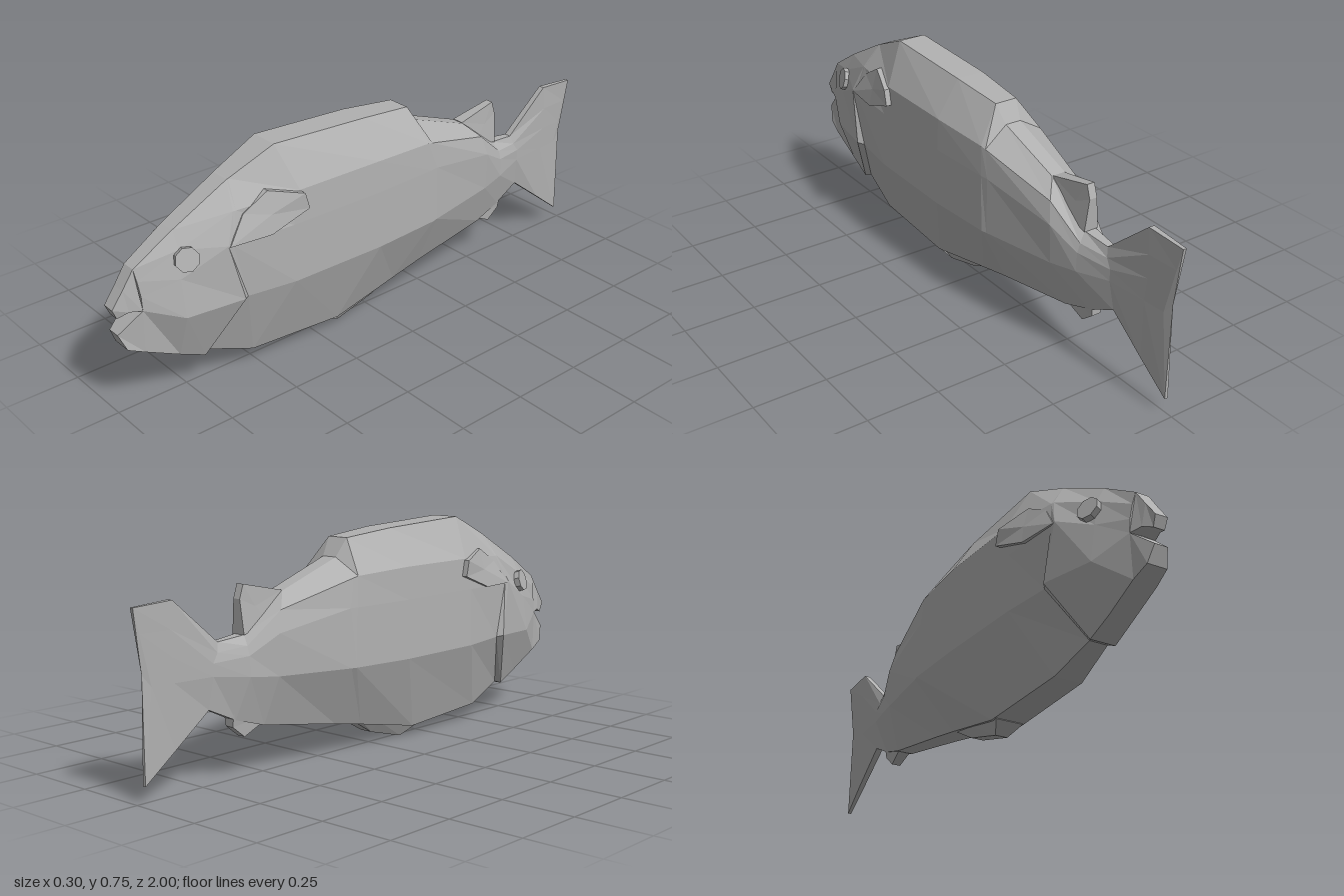
import * as THREE from 'three';

const grey = new THREE.MeshStandardMaterial({ color: 0xb0b0b0, flatShading: true });
grey.name = 'grey';

// Skin a list of equal-length rings; each runs clockwise seen from outside the first ring
function loft(name, rings) {
  const pos = [];
  const tri = (a, b, c) => pos.push(...a, ...b, ...c);
  const n = rings[0].length;
  for (let i = 0; i < rings.length - 1; i++) {
    for (let j = 0; j < n; j++) {
      const k = (j + 1) % n;
      const [a, b, c, d] = [rings[i][j], rings[i][k], rings[i + 1][k], rings[i + 1][j]];
      tri(a, b, c);
      tri(a, c, d);
    }
  }
  const cap = (ring, flip) => {
    const mid = [0, 1, 2].map(q => ring.reduce((s, p) => s + p[q], 0) / n);
    for (let j = 0; j < n; j++) {
      const a = ring[j], b = ring[(j + 1) % n];
      flip ? tri(mid, b, a) : tri(mid, a, b);
    }
  };
  cap(rings[0], true);
  cap(rings[rings.length - 1], false);
  const geo = new THREE.BufferGeometry();
  geo.setAttribute('position', new THREE.Float32BufferAttribute(pos, 3));
  geo.computeVertexNormals();
  const mesh = new THREE.Mesh(geo, grey);
  mesh.name = name;
  return mesh;
}

const flipX = ([x, y, z]) => [-x, y, z];
// Left half of a section, top to bottom, completed by its mirror image
const ring = half => [...half, ...half.map(flipX).reverse()];
const sections = (name, halves) => loft(name, halves.map(ring));
// Upright fin on the centre line, outlined clockwise as seen from the left
const fin = (name, pts) => loft(name, [pts, pts.map(flipX)]);

export function createModel() {
  const fish = new THREE.Group();
  fish.name = 'fish';

  // Head, from the mouth corner back to the gill edge
  fish.add(sections('head', [
    [[.024, .49, .92], [.034, .45, .915], [.042, .40, .91], [.046, .353, .91], [.042, .205, .91]],
    [[.03, .575, .78], [.06, .52, .78], [.078, .43, .79], [.097, .303, .79], [.042, .145, .79]],
    [[.035, .68, .58], [.09, .60, .60], [.117, .505, .64], [.132, .31, .595], [.045, .105, .70]],
    [[.036, .682, .575], [.092, .60, .59], [.116, .50, .62], [.115, .305, .575], [.032, .112, .68]],
  ]));
  fish.add(sections('upperJaw', [
    [[.022, .378, 1], [.02, .343, .985]],
    [[.023, .432, .96], [.033, .358, .95]],
    [[.024, .49, .92], [.046, .353, .91]],
  ]));
  fish.add(sections('lowerJaw', [
    [[.023, .288, .99], [.035, .232, .967]],
    [[.046, .353, .91], [.042, .205, .91]],
  ]));

  // Body, with the ridge stepping down behind the back
  fish.add(sections('body', [
    [[.036, .682, .575], [.092, .60, .59], [.116, .50, .62], [.115, .305, .575], [.032, .112, .68]],
    [[.05, .752, .41], [.125, .61, .37], [.13, .50, .40], [.135, .30, .40], [.05, .055, .52]],
    [[.05, .735, .05], [.13, .61, .05], [.135, .50, .05], [.14, .30, .05], [.055, .035, .17]],
    [[.04, .716, -.15], [.118, .60, -.18], [.125, .50, -.19], [.13, .305, -.20], [.045, .085, -.09]],
    [[.028, .655, -.19], [.115, .595, -.20], [.122, .50, -.22], [.125, .305, -.22], [.04, .107, -.21]],
    [[.025, .57, -.43], [.07, .52, -.48], [.085, .45, -.50], [.08, .315, -.50], [.03, .157, -.52]],
    [[.02, .45, -.59], [.045, .42, -.60], [.055, .39, -.60], [.058, .325, -.60], [.02, .19, -.63]],
    [[.012, .44, -.69], [.022, .41, -.70], [.025, .38, -.72], [.025, .34, -.72], [.012, .237, -.73]],
  ]));

  // Forked tail
  fish.add(sections('tail', [
    [[.012, .44, -.69], [.022, .41, -.70], [.025, .38, -.72], [.025, .34, -.72], [.012, .237, -.73]],
    [[.01, .585, -.86], [.012, .50, -.87], [.012, .42, -.87], [.012, .34, -.86], [.01, .137, -.86]],
    [[.006, .577, -1], [.006, .50, -.98], [.006, .42, -.96], [.006, .34, -.94], [.006, .05, -.972]],
  ]));

  // Small fins on the centre line
  fish.add(fin('rearBackFin', [
    [.022, .572, -.43], [.014, .605, -.585], [.014, .56, -.60], [.026, .45, -.595], [.03, .48, -.50],
  ]));
  fish.add(fin('rearBellyFin', [
    [.022, .21, -.53], [.022, .21, -.64], [.016, .168, -.638], [.016, .13, -.59], [.022, .16, -.53],
  ]));
  fish.add(sections('bellyFin', [
    [[.05, .06, .20], [.05, .034, .19]],
    [[.054, .06, .14], [.022, 0, .14]],
    [[.05, .08, 0], [.022, .04, -.01]],
    [[.044, .10, -.09], [.03, .085, -.09]],
  ]));

  // Side fins, flaring outward at the back
  const outer = [
    [.10, .585, .57], [.105, .636, .48], [.146, .605, .365],
    [.148, .55, .35], [.137, .50, .49], [.12, .50, .635],
  ];
  const inner = outer.map(([x, y, z]) => [x - .022, y, z]);
  fish.add(loft('leftSideFin', [outer, inner]));
  fish.add(loft('rightSideFin', [outer, inner].map(r => r.map(flipX).reverse())));

  // Eight-sided eyes, tilted up and forward
  for (const side of [1, -1]) {
    const eye = new THREE.Mesh(new THREE.CylinderGeometry(.04, .04, .035, 8), grey);
    eye.name = side > 0 ? 'leftEye' : 'rightEye';
    eye.position.set(side * .073, .49, .765);
    eye.quaternion.setFromUnitVectors(
      new THREE.Vector3(0, 1, 0), new THREE.Vector3(side, .27, .3).normalize());
    fish.add(eye);
  }
  return fish;
}
